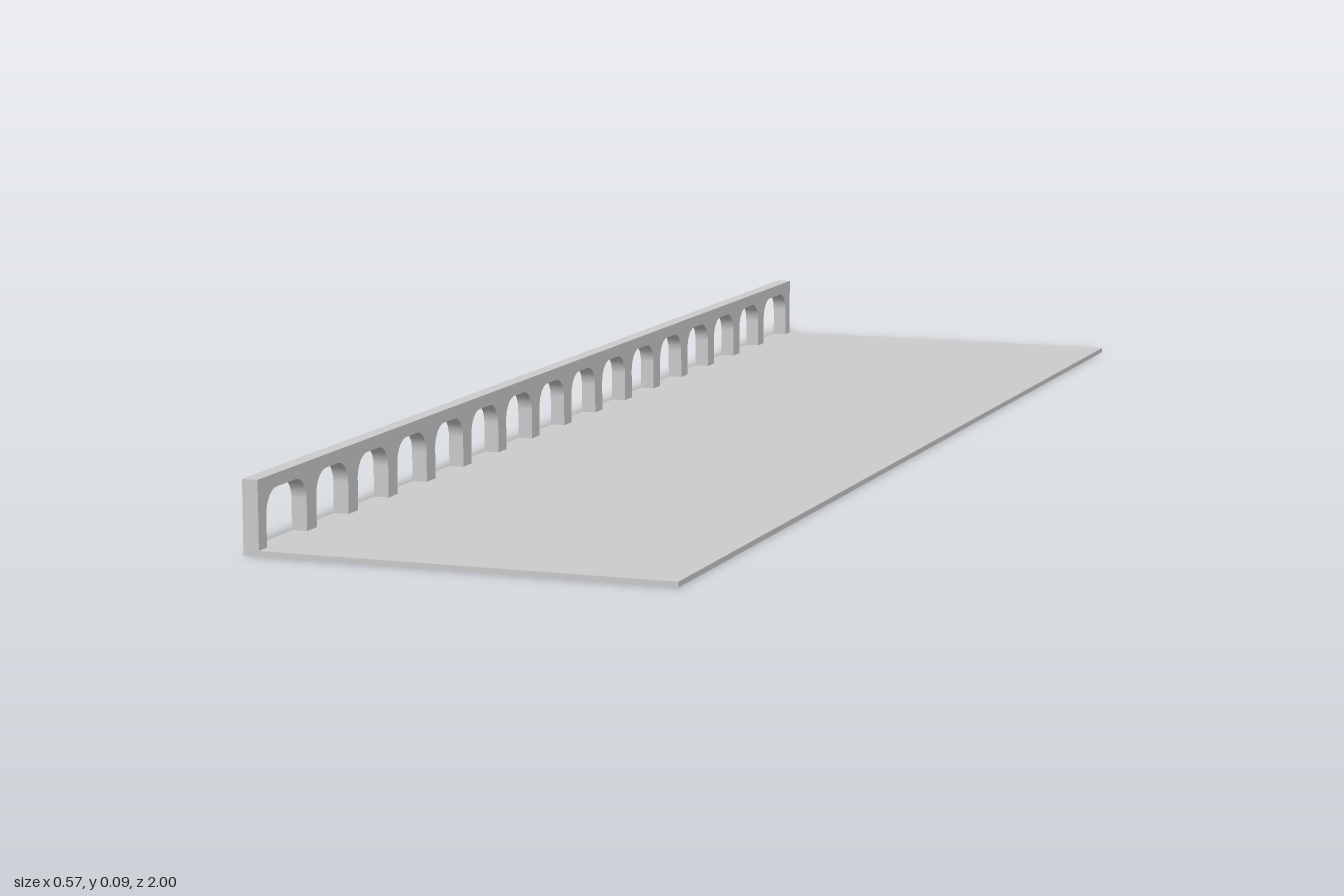
import * as THREE from 'three';

const HALF_W = 0.283, DECK_H = 0.007, WALL_T = 0.021, WALL_TOP = 0.095;
const ARCH_TOP = 0.078, RADIUS = 0.03;

// Comb-like outline: a top rail on pillars, with round-cornered openings between
function arcadeShape(openings) {
  const s = new THREE.Shape();
  s.moveTo(-1, WALL_TOP);
  s.lineTo(-1, DECK_H);
  for (const [a, b] of openings) {
    s.lineTo(a, DECK_H);
    s.lineTo(a, ARCH_TOP - RADIUS);
    s.absarc(a + RADIUS, ARCH_TOP - RADIUS, RADIUS, Math.PI, Math.PI / 2, true);
    s.absarc(b - RADIUS, ARCH_TOP - RADIUS, RADIUS, Math.PI / 2, 0, true);
    s.lineTo(b, DECK_H);
  }
  s.lineTo(1, DECK_H);
  s.lineTo(1, WALL_TOP);
  s.closePath();
  return s;
}

export function createModel() {
  const group = new THREE.Group();
  group.name = 'arcadedTerrace';
  const material = new THREE.MeshStandardMaterial({ color: 0xcccccc, flatShading: true });

  // Thin floor slab
  const deck = new THREE.Mesh(new THREE.BoxGeometry(HALF_W * 2, DECK_H, 2), material);
  deck.name = 'deck';
  deck.position.y = DECK_H / 2;
  group.add(deck);

  // Fourteen even openings between two wider end openings
  const pitch = 0.1218, halfOpen = 0.0467;
  const openings = [[-0.978, -0.866]];
  for (let i = 0; i < 14; i++) {
    const c = (i - 6.5) * pitch;
    openings.push([c - halfOpen, c + halfOpen]);
  }
  openings.push([0.866, 0.978]);

  // Parapet along the right edge
  const geometry = new THREE.ExtrudeGeometry(arcadeShape(openings), {
    depth: WALL_T, bevelEnabled: false, curveSegments: 8,
  });
  geometry.rotateY(-Math.PI / 2);
  const wall = new THREE.Mesh(geometry, material);
  wall.name = 'arcadeParapet';
  wall.position.x = -HALF_W + WALL_T;
  group.add(wall);

  return group;
}
